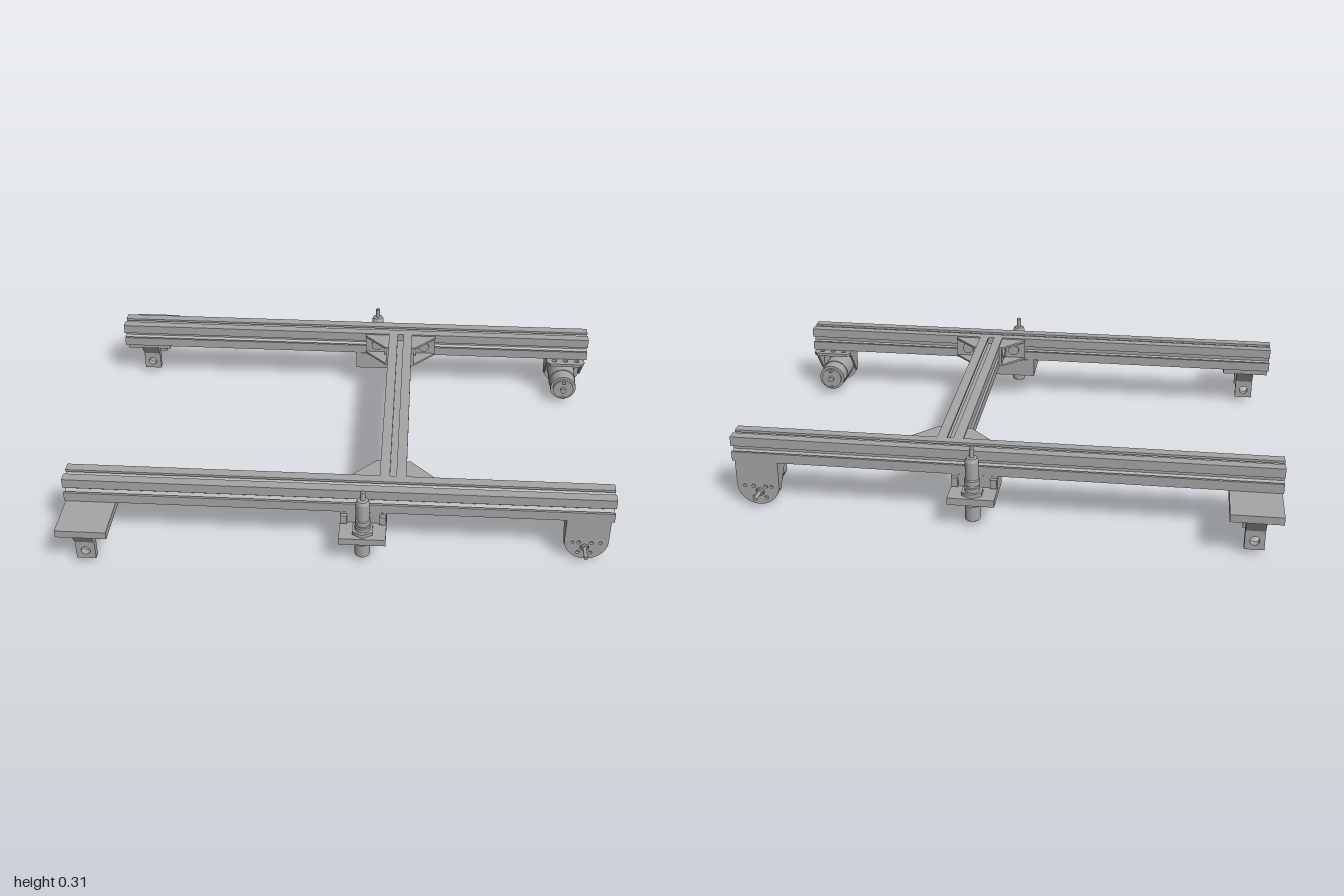
import * as THREE from 'three';

const grey = new THREE.MeshStandardMaterial({ color: 0xa6a6a6 });
grey.name = 'aluminium grey';

function add(parent, name, geometry, x = 0, y = 0, z = 0) {
  const mesh = new THREE.Mesh(geometry, grey);
  mesh.name = name;
  mesh.position.set(x, y, z);
  parent.add(mesh);
  return mesh;
}

// Box given by its limits on each axis
function box(parent, name, x0, x1, y0, y1, z0, z1) {
  return add(parent, name, new THREE.BoxGeometry(Math.abs(x1 - x0), y1 - y0, z1 - z0),
    (x0 + x1) / 2, (y0 + y1) / 2, (z0 + z1) / 2);
}

// Cylinder along an axis, centred at p
function rod(parent, name, axis, r, length, p, sides = 32) {
  const g = new THREE.CylinderGeometry(r, r, length, sides);
  if (axis === 'x') g.rotateZ(Math.PI / 2);
  if (axis === 'z') g.rotateX(Math.PI / 2);
  return add(parent, name, g, ...p);
}

const outline = pts => new THREE.Shape(pts.map(p => new THREE.Vector2(...p)));

function hole(shape, x, y, r) {
  const path = new THREE.Path();
  path.absarc(x, y, r, 0, Math.PI * 2, true);
  shape.holes.push(path);
}

// Axis z: shape (x,y). Axis x: shape (z,y). Axis y: shape (x,z). 'from' is the lower limit.
function prism(parent, name, shape, axis, from, depth) {
  const g = new THREE.ExtrudeGeometry(shape, { depth, bevelEnabled: false, curveSegments: 16 });
  if (axis === 'z') g.translate(0, 0, from);
  if (axis === 'x') g.rotateY(-Math.PI / 2).translate(from + depth, 0, 0);
  if (axis === 'y') g.rotateX(Math.PI / 2).translate(0, from + depth, 0);
  return add(parent, name, g);
}

// Slotted square extrusion profile: one side repeated four times
const H = 0.0485, RAIL_Y = 0.227, RAIL_BOTTOM = RAIL_Y - H;
function slotProfile() {
  const side = [[-H, H], [-0.012, H], [-0.012, H - 0.009], [-0.026, H - 0.009], [-0.026, H - 0.014],
    [-0.012, 0.019], [0.012, 0.019], [0.026, H - 0.014], [0.026, H - 0.009], [0.012, H - 0.009], [0.012, H]];
  const pts = [];
  for (let k = 0; k < 4; k++) {
    const c = Math.round(Math.cos(k * Math.PI / 2)), s = Math.round(Math.sin(k * Math.PI / 2));
    side.forEach(([x, y]) => pts.push([x * c + y * s, y * c - x * s]));
  }
  const shape = outline(pts);
  hole(shape, 0, 0, 0.008);
  for (const a of [-1, 1]) for (const b of [-1, 1]) hole(shape, a * 0.039, b * 0.039, 0.005);
  return shape;
}

// Gusseted corner bracket joining the crossbeam to a rail
function cornerBracket(side, s) {
  const g = new THREE.Group();
  g.name = 'cornerBracket';
  const x = a => 0.2 + s * (H + a);
  box(g, 'beamFlange', x(0), x(0.01), 0.184, 0.27, 0.4, 0.5);
  box(g, 'railFlange', x(0), x(0.1), 0.184, 0.27, 0.49, 0.5);
  const web = [[0, 0.5], [0.1, 0.5], [0.1, 0.49], [0.014, 0.4], [0, 0.4]].map(([a, z]) => [x(a), z]);
  for (const y of [0.184, 0.262]) prism(g, 'gusset', outline(web), 'y', y, 0.008);
  rod(g, 'beamScrew', 'x', 0.022, 0.012, [x(0.014), RAIL_Y, 0.452]);
  rod(g, 'railScrew', 'z', 0.022, 0.012, [x(0.052), RAIL_Y, 0.486]);
  side.add(g);
}

// Geared motor hanging below the rail on an angled plate
function motorUnit(side) {
  const g = new THREE.Group();
  g.name = 'motorUnit';
  const cx = 0.91, r = 0.08, cy = 0.083, axisX = 0.905, axisY = 0.077, shaftY = 0.054;

  const face = new THREE.Shape();
  face.moveTo(cx - r, RAIL_BOTTOM);
  face.lineTo(cx - r, cy);
  face.absarc(cx, cy, r, Math.PI, Math.PI * 2, false);
  face.lineTo(cx + r, RAIL_BOTTOM);
  hole(face, axisX, shaftY, 0.016);
  for (const a of [-1, 1]) {
    hole(face, cx + a * 0.05, 0.077, 0.006);
    for (const b of [-1, 1]) hole(face, axisX + a * 0.023, shaftY + b * 0.023, 0.007);
  }
  prism(g, 'motorFacePlate', face, 'z', 0.583, 0.012);

  const top = outline([[cx - r, 0.595], [cx - r, 0.475], [cx - 0.065, 0.457],
    [cx + 0.065, 0.457], [cx + r, 0.475], [cx + r, 0.595]]);
  for (const a of [-1, 0, 1]) hole(top, cx + a * 0.047, 0.485, 0.01);
  prism(g, 'motorTopPlate', top, 'y', 0.166, 0.0125);
  const web = outline([[0.485, 0.168], [0.585, 0.168], [0.585, 0.06], [0.575, 0.06]]);
  for (const x of [cx - r, cx + r - 0.008]) prism(g, 'motorGusset', web, 'x', x, 0.008);

  rod(g, 'gearbox', 'z', 0.057, 0.1, [axisX, axisY, 0.533]);
  rod(g, 'motorCan', 'z', 0.054, 0.058, [axisX, axisY, 0.456]);
  rod(g, 'motorEndCap', 'z', 0.043, 0.012, [axisX, axisY, 0.422]);
  rod(g, 'rearBearing', 'z', 0.012, 0.016, [axisX, axisY, 0.41]);
  for (const a of [-1, 1])
    box(g, 'terminal', axisX - 0.006, axisX + 0.006, axisY + a * 0.035 - 0.002, axisY + a * 0.035 + 0.002, 0.4, 0.42);
  rod(g, 'shaftBushing', 'z', 0.013, 0.022, [axisX, shaftY, 0.59]);
  rod(g, 'driveShaft', 'z', 0.007, 0.08, [axisX, shaftY, 0.615], 20);
  side.add(g);
}

// Stepped bracket carrying an upright spring plunger
function plungerUnit(side) {
  const g = new THREE.Group();
  g.name = 'plungerUnit';
  const x0 = 0.012, x1 = 0.182, cx = 0.097, cz = 0.645;
  box(g, 'shelf', x0, x1, 0.104, 0.131, 0.497, 0.692);
  box(g, 'spacerBlock', x0, x1, 0.131, RAIL_BOTTOM, 0.497, 0.597);
  for (const x of [x0 + 0.002, x1 - 0.026]) box(g, 'boltHead', x, x + 0.024, 0.135, 0.17, 0.597, 0.612);
  const profile = [[0, 0.028], [0.025, 0.028], [0.028, 0.031], [0.028, 0.16], [0.024, 0.162], [0.024, 0.168],
    [0.028, 0.17], [0.028, 0.19], [0.025, 0.193], [0.025, 0.262], [0.02, 0.275], [0.009, 0.277],
    [0.009, 0.311], [0.006, 0.315], [0, 0.315]];
  // Doubled points keep the steps crisp
  const crisp = profile.flatMap(p => [new THREE.Vector2(...p), new THREE.Vector2(...p)]).slice(1, -1);
  const body = new THREE.LatheGeometry(crisp, 32).toNonIndexed();
  body.computeVertexNormals();
  add(g, 'plungerBody', body, cx, 0, cz);
  rod(g, 'upperNut', 'y', 0.042, 0.014, [cx, 0.138, cz], 6);
  rod(g, 'lowerNut', 'y', 0.042, 0.012, [cx, 0.098, cz], 6);
  side.add(g);
}

// Flat plate with two drilled hanging lugs
function lugBracket(side) {
  const g = new THREE.Group();
  g.name = 'lugBracket';
  const mid = 0.647, cx = -0.903;
  box(g, 'lugPlate', -0.995, -0.81, 0.15, RAIL_BOTTOM, mid - 0.122, mid + 0.122);
  for (const s of [-1, 1]) {
    const lug = outline([[cx - 0.035, 0.152], [cx - 0.035, 0.026], [cx + 0.035, 0.026], [cx + 0.035, 0.152]]);
    hole(lug, cx, 0.06, 0.017);
    prism(g, 'lug', lug, 'z', mid + s * 0.072 - 0.013, 0.026);
    const flare = outline([[0.08, 0.152], [0.118, 0.152], [0.085, 0.1], [0.08, 0.09]].map(([z, y]) => [mid + s * z, y]));
    prism(g, 'lugBrace', flare, 'x', cx - 0.035, 0.07);
  }
  side.add(g);
}

function buildSide() {
  const side = new THREE.Group();
  side.name = 'sideAssembly';
  const rail = prism(side, 'sideRail', slotProfile(), 'x', -1, 2);
  rail.position.set(0, RAIL_Y, 0.548);
  for (const s of [-1, 1]) cornerBracket(side, s);
  motorUnit(side);
  plungerUnit(side);
  lugBracket(side);
  return side;
}

export function createModel() {
  const model = new THREE.Group();
  model.name = 'slottedRailFrame';
  const beam = prism(model, 'crossbeam', slotProfile(), 'z', -0.5, 1);
  beam.position.set(0.2, RAIL_Y, 0);
  // Both halves match across the centre line
  for (const s of [1, -1]) {
    const side = buildSide();
    side.scale.z = s;
    model.add(side);
  }
  return model;
}
